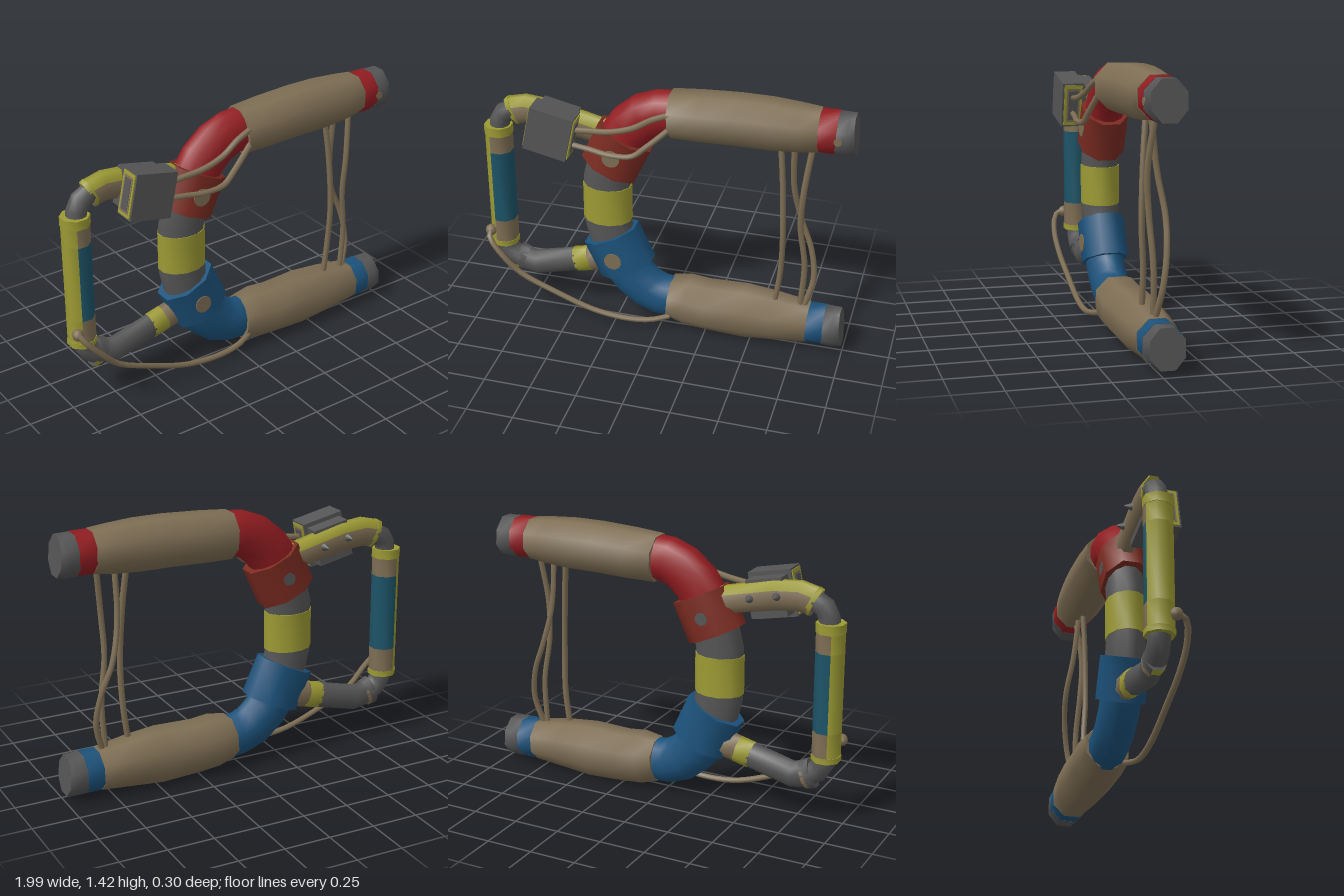
import * as THREE from 'three';

const mat = (name, color) => Object.assign(new THREE.MeshStandardMaterial({ color }), { name });
const M = {
  tan: mat('tan wrap', 0x7e6e54),
  grey: mat('dark steel', 0x555555),
  red: mat('red paint', 0x921d21),
  rust: mat('dull red cuff', 0x7a2b21),
  blue: mat('blue paint', 0x1c527b),
  teal: mat('teal grip', 0x1d5468),
  yellow: mat('yellow paint', 0x9c9a34),
};
const Z = -0.025; // centre plane of the horseshoe

// Sweeps a polygon section along [x, y, inPlaneRadius, depthRadius] stations; altSides use the second material
function sweep(stations, sides, z = Z, altSides = []) {
  const pos = [], index = [], n = stations.length, g = new THREE.BufferGeometry();
  const grow = 1 / Math.cos(Math.PI / sides);
  const ring = (i) => {
    const p = stations[i], a = stations[Math.max(i - 1, 0)], b = stations[Math.min(i + 1, n - 1)];
    const l = Math.hypot(b[0] - a[0], b[1] - a[1]);
    const nx = -(b[1] - a[1]) / l, ny = (b[0] - a[0]) / l;
    for (let j = 0; j < sides; j++) {
      const t = ((j + 0.5) / sides) * Math.PI * 2;
      const c = Math.cos(t) * p[2] * grow, s = Math.sin(t) * (p[3] ?? p[2]) * grow;
      pos.push(p[0] + nx * c, p[1] + ny * c, z + s);
    }
  };
  for (let i = 0; i < n; i++) ring(i);
  for (let j = 0; j < sides; j++) {
    const k = (j + 1) % sides, start = index.length;
    for (let i = 0; i < n - 1; i++) {
      const a = i * sides + j, b = i * sides + k, c = a + sides, d = b + sides;
      index.push(a, b, c, b, d, c);
    }
    g.addGroup(start, index.length - start, altSides.includes(j) ? 1 : 0);
  }
  // end caps with their own vertices
  const start = index.length;
  for (const end of [0, n - 1]) {
    const o = pos.length / 3;
    ring(end);
    for (let j = 1; j < sides - 1; j++) {
      if (end) index.push(o, o + j, o + j + 1);
      else index.push(o, o + j + 1, o + j);
    }
  }
  g.addGroup(start, index.length - start, 0);
  g.setAttribute('position', new THREE.Float32BufferAttribute(pos, 3));
  g.setIndex(index);
  g.computeVertexNormals();
  return g;
}

export function createModel() {
  const model = new THREE.Group();
  model.name = 'horseshoeMagnet';
  const add = (name, geo, material, parent = model) => {
    const m = new THREE.Mesh(geo, material);
    m.name = name;
    parent.add(m);
    return m;
  };
  const disc = (name, x, y, z, r, depth, material) => {
    const m = add(name, new THREE.CylinderGeometry(r, r, depth, 14), material);
    m.rotation.x = Math.PI / 2;
    m.position.set(x, y, z);
  };
  const wire = (name, pts, r = 0.016) => {
    const curve = new THREE.CatmullRomCurve3(pts.map((p) => new THREE.Vector3(...p)));
    add(name, new THREE.TubeGeometry(curve, 28, r, 6), M.tan);
  };

  // Horseshoe centre: steel core and yellow band
  add('steelCore', sweep([[-0.27, 0.46, 0.124, 0.095], [-0.305, 0.6, 0.124, 0.095],
    [-0.305, 0.86, 0.124, 0.095], [-0.27, 1.0, 0.124, 0.095]], 12), M.grey);
  add('yellowBand', sweep([[-0.305, 0.62, 0.128, 0.099], [-0.305, 0.83, 0.128, 0.099]], 12), M.yellow);

  // Two bends and cuffs, mirrored about the middle height
  for (const top of [true, false]) {
    const side = top ? 'upper' : 'lower';
    const flip = (pts) => (top ? pts : pts.map(([x, y, ...r]) => [x, 1.46 - y, ...r]));
    add(side + 'Bend', sweep(flip([[0.07, 1.295, 0.115, 0.098], [-0.01, 1.288, 0.118, 0.098],
      [-0.09, 1.255, 0.122, 0.098], [-0.17, 1.185, 0.125, 0.098], [-0.225, 1.1, 0.126, 0.098],
      [-0.255, 1.03, 0.126, 0.098]]), 12), top ? M.red : M.blue);
    add(side + 'Cuff', sweep(flip([[-0.29, 0.935, 0.152, 0.114], [-0.197, 1.138, 0.152, 0.114]]), 8),
      top ? M.rust : M.blue);
    disc(side + 'CuffSpot', -0.25, top ? 1.04 : 0.41, Z + 0.115, 0.048, 0.008, M.tan);
  }
  disc('cuffBackChip', -0.25, 1.035, Z - 0.114, 0.034, 0.004, M.grey);

  // Wrapped arms with painted collars and slanted steel tips
  add('upperSleeve', sweep([[0.045, 1.29, 0.119, 0.115], [0.2, 1.297, 0.124, 0.124],
    [0.4, 1.305, 0.126, 0.126], [0.56, 1.305, 0.126, 0.123], [0.7, 1.305, 0.117, 0.115],
    [0.805, 1.306, 0.106, 0.104]], 8), M.tan);
  add('lowerSleeve', sweep([[0.045, 0.17, 0.112, 0.112], [0.14, 0.163, 0.134, 0.126],
    [0.25, 0.152, 0.133, 0.128], [0.46, 0.15, 0.142, 0.126], [0.62, 0.149, 0.127, 0.12],
    [0.805, 0.142, 0.106, 0.104]], 8), M.tan);
  for (const [side, y, paint] of [['upper', 1.306, M.red], ['lower', 0.142, M.blue]]) {
    add(side + 'Collar', sweep([[0.8, y, 0.104, 0.1], [0.895, y, 0.104, 0.1]], 8), paint);
    add(side + 'Tip', sweep([[0.89, y - 0.002, 0.1035, 0.0995], [0.95, y - 0.003, 0.103, 0.097],
      [0.985, y, 0.102, 0.088]], 8), M.grey);
  }
  disc('tipSpot', 0.905, 1.3, Z + 0.1, 0.02, 0.005, M.tan);

  // Side handle: coloured segments with a yellow outer strip
  const handle = [[0.36, 0.39, 'yellow'], [0.39, 0.52, 'tan'], [0.52, 0.94, 'teal'],
    [0.94, 1.04, 'tan'], [1.04, 1.09, 'yellow']];
  for (const [y0, y1, c] of handle) {
    const r = c === 'yellow' ? 0.071 : 0.068;
    add('handle_' + c, sweep([[-0.908, y0, r], [-0.908, y1, r]], 8, -0.035, [6, 7, 0]), [M[c], M.yellow]);
  }

  // Upper bracket pipe with a yellow lip where it meets the elbow
  add('upperElbow', sweep([[-0.9, 1.06, 0.052], [-0.898, 1.11, 0.052], [-0.872, 1.16, 0.053],
    [-0.82, 1.19, 0.05]], 10, -0.035), M.grey);
  add('bracketLip', sweep([[-0.828, 1.178, 0.075, 0.048], [-0.805, 1.19, 0.076, 0.0495]], 8, -0.037), M.yellow);
  add('upperBracket', sweep([[-0.82, 1.183, 0.074, 0.048], [-0.745, 1.202, 0.075, 0.048],
    [-0.62, 1.19, 0.075, 0.048], [-0.33, 1.125, 0.07, 0.048]], 8, -0.037, [6, 7, 0]), [M.tan, M.yellow]);
  for (const x of [-0.635, -0.49]) {
    const stud = add('bracketStud', new THREE.ConeGeometry(0.024, 0.05, 8), M.grey);
    stud.rotation.x = -Math.PI / 2;
    stud.position.set(x, 1.19 - (x + 0.62) * 0.22, -0.105);
  }

  // Lower bracket pipe: steel, a yellow ring, then tan into the cuff
  add('lowerElbow', sweep([[-0.9, 0.4, 0.055], [-0.898, 0.34, 0.055], [-0.87, 0.295, 0.056],
    [-0.82, 0.265, 0.058]], 10, -0.035), M.grey);
  add('lowerPipe', sweep([[-0.832, 0.272, 0.073, 0.05], [-0.73, 0.246, 0.068, 0.05],
    [-0.49, 0.307, 0.067, 0.05]], 10, -0.037), M.grey);
  add('lowerPipeRing', sweep([[-0.5, 0.305, 0.068, 0.051], [-0.415, 0.326, 0.068, 0.051]], 8, -0.037), M.yellow);
  add('lowerPipeEnd', sweep([[-0.42, 0.325, 0.068, 0.051], [-0.34, 0.345, 0.068, 0.051]], 8, -0.037), M.tan);
  // worn paint under and behind the elbow joint
  add('elbowWear', sweep([[-0.84, 0.275, 0.076, 0.052], [-0.79, 0.258, 0.073, 0.052]], 8, -0.037, [4, 5]),
    [M.grey, M.tan]);
  add('elbowPaint', sweep([[-0.842, 0.276, 0.077, 0.053], [-0.81, 0.264, 0.075, 0.053]], 8, -0.037, [2, 3]),
    [M.grey, M.yellow]);

  // Control box with trimmed ends
  const box = new THREE.Group();
  box.name = 'controlBox';
  box.position.set(-0.567, 1.165, 0);
  box.rotation.z = -0.21;
  model.add(box);
  add('boxBody', new THREE.BoxGeometry(0.235, 0.245, 0.12), M.grey, box).position.z = 0.09;
  add('boxMount', new THREE.BoxGeometry(0.2, 0.2, 0.09), M.grey, box).position.z = -0.005;
  for (const s of [-1, 1]) {
    const plate = (name, h, d, x, material) =>
      add(name, new THREE.BoxGeometry(0.006, h, d), material, box).position.set(s * x, 0, 0.09);
    plate('boxTrim', 0.225, 0.1, 0.12, M.yellow);
    plate('boxGasket', 0.19, 0.072, 0.122, M.tan);
    plate('boxPanel', 0.165, 0.052, 0.124, M.grey);
  }

  // Wires from the box to the upper arm
  wire('boxWireUpper', [[-0.46, 1.18, 0.09], [-0.36, 1.19, 0.095], [-0.25, 1.205, 0.105],
    [-0.13, 1.24, 0.1], [-0.03, 1.295, 0.085], [0.06, 1.33, 0.075]]);
  wire('boxWireLower', [[-0.46, 1.095, 0.09], [-0.36, 1.087, 0.1], [-0.25, 1.077, 0.115],
    [-0.13, 1.085, 0.11], [-0.06, 1.14, 0.1], [0.06, 1.25, 0.075]]);

  // Long wire from the handle to the lower arm
  wire('handleWire', [[-0.95, 0.46, 0.0], [-0.968, 0.46, 0.05], [-0.95, 0.43, 0.085], [-0.88, 0.35, 0.105],
    [-0.78, 0.25, 0.1], [-0.58, 0.155, 0.095], [-0.35, 0.075, 0.095], [-0.15, 0.06, 0.1],
    [-0.03, 0.075, 0.095], [0.06, 0.095, 0.065]]);
  const knot = add('wireKnot', new THREE.SphereGeometry(0.032, 8, 6), M.tan);
  knot.position.set(-0.965, 0.455, 0.03);

  // Three slack wires between the arms, two of them crossing
  wire('armWireInner', [[0.61, 1.22, -0.02], [0.635, 0.97, 0.0], [0.65, 0.68, 0.01],
    [0.645, 0.45, 0.0], [0.62, 0.24, 0.0]]);
  wire('armWireBowed', [[0.68, 1.22, -0.025], [0.685, 0.94, -0.055], [0.73, 0.73, -0.085],
    [0.79, 0.57, -0.075], [0.815, 0.4, -0.05], [0.77, 0.22, -0.02]]);
  wire('armWireStraight', [[0.775, 1.22, -0.02], [0.745, 0.95, 0.01], [0.738, 0.74, 0.0],
    [0.768, 0.5, -0.015], [0.755, 0.22, -0.02]]);

  return model;
}
